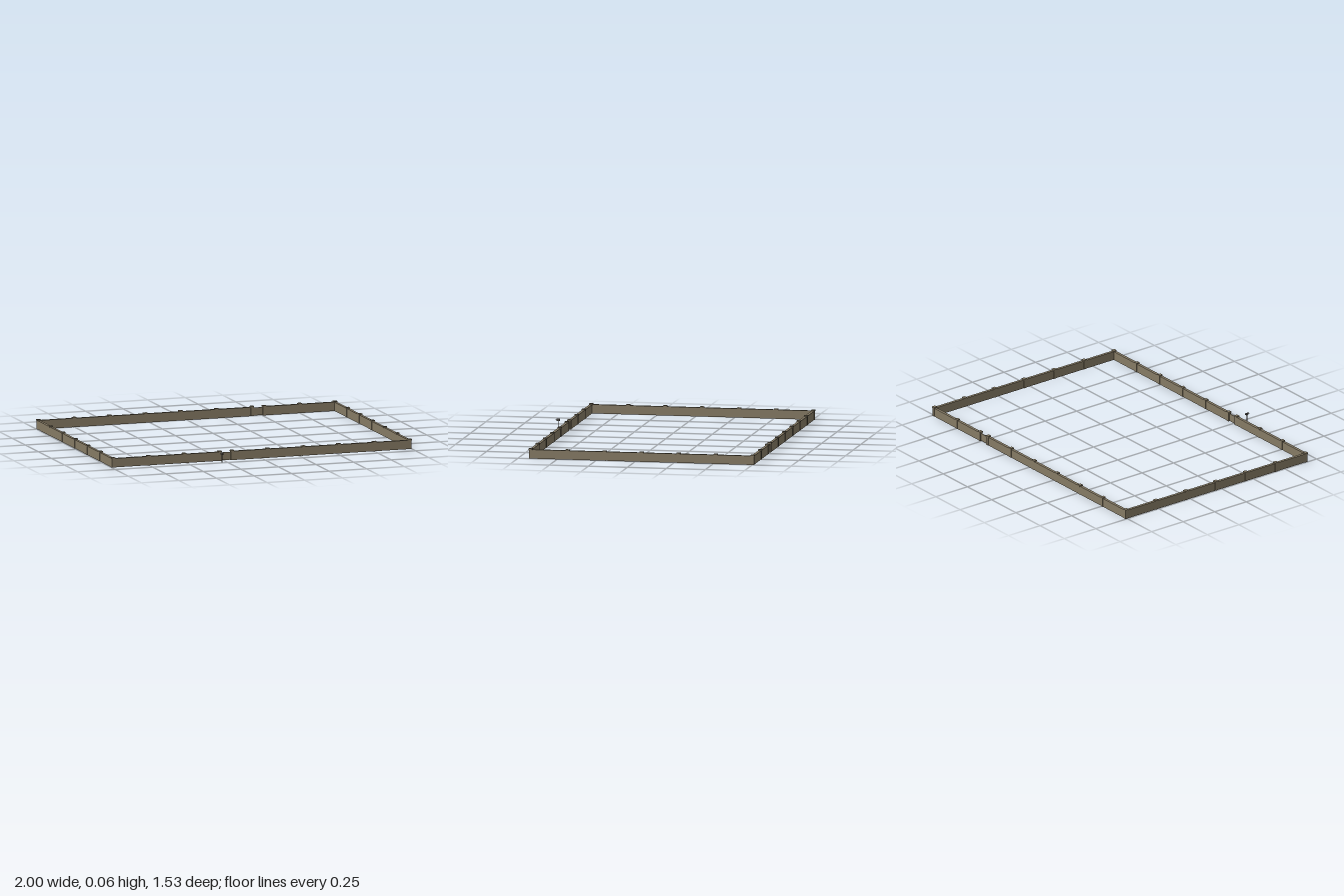
import * as THREE from 'three';

export function createModel() {
  const model = new THREE.Group();
  const stone = new THREE.MeshStandardMaterial({ color: 0x857a64 });
  stone.name = 'weathered stone';
  const iron = new THREE.MeshStandardMaterial({ color: 0x55504a });
  iron.name = 'dark iron';

  const X = 0.988, BACK = -0.752, FRONT = 0.671, STEP = 0.2368;
  const WALL_H = 0.057, POST_H = 0.063;

  // Box standing with its base at y
  function box(parent, name, mat, w, h, d, x, y, z) {
    const mesh = new THREE.Mesh(new THREE.BoxGeometry(w, h, d), mat);
    mesh.name = name;
    mesh.position.set(x, y + h / 2, z);
    parent.add(mesh);
  }

  function post(x, z) {
    box(model, 'post', stone, 0.02, POST_H - 0.008, 0.02, x, 0, z);
    box(model, 'postCap', stone, 0.024, 0.008, 0.024, x, POST_H - 0.008, z);
  }

  // Wall panel with a coping, running along x or z
  function panel(x, z, length, alongX) {
    const size = (t) => (alongX ? [length, t] : [t, length]);
    const [w, d] = size(0.015), [cw, cd] = size(0.018);
    box(model, 'wallPanel', stone, w, WALL_H - 0.005, d, x, 0, z);
    box(model, 'wallCoping', stone, cw, 0.005, cd, x, WALL_H - 0.005, z);
  }

  // Front and back runs, each with a narrow gate opening after some panels
  function longRun(z, panelsBeforeGate, name) {
    let x = -X;
    const gateWidth = 2 * X - 8 * STEP;
    post(x, z);
    for (let i = 0; i < 9; i++) {
      const isGate = i === panelsBeforeGate;
      const width = isGate ? gateWidth : STEP;
      const mid = x + width / 2;
      if (isGate) {
        box(model, name, stone, width - 0.02, 0.05, 0.004, mid, 0.002, z);
      } else {
        panel(mid, z, width, true);
      }
      x += width;
      post(x, z);
    }
  }
  longRun(BACK, 6, 'backGate');
  longRun(FRONT, 3, 'frontGate');

  // Side runs, sharing the corner posts
  const sideStep = (FRONT - BACK) / 6;
  for (const x of [-X, X]) {
    for (let i = 0; i < 6; i++) {
      panel(x, BACK + sideStep * (i + 0.5), sideStep, false);
      if (i > 0) post(x, BACK + sideStep * i);
    }
  }

  // Small letter box on a thin pole outside the front gate
  const letterBox = new THREE.Group();
  letterBox.name = 'letterBox';
  letterBox.position.set(-0.287, 0, 0.745);
  model.add(letterBox);
  box(letterBox, 'pole', iron, 0.004, 0.053, 0.004, 0, 0, 0);
  box(letterBox, 'boxBody', iron, 0.01, 0.009, 0.021, 0, 0.052, 0);
  const lid = new THREE.Mesh(
    new THREE.CylinderGeometry(0.005, 0.005, 0.021, 12, 1, false, 0, Math.PI), iron);
  lid.name = 'roundedLid';
  lid.geometry.rotateZ(Math.PI / 2).rotateY(Math.PI / 2);
  lid.position.y = 0.06;
  letterBox.add(lid);
  box(letterBox, 'openFlap', iron, 0.01, 0.002, 0.008, 0, 0.058, 0.013);

  return model;
}
